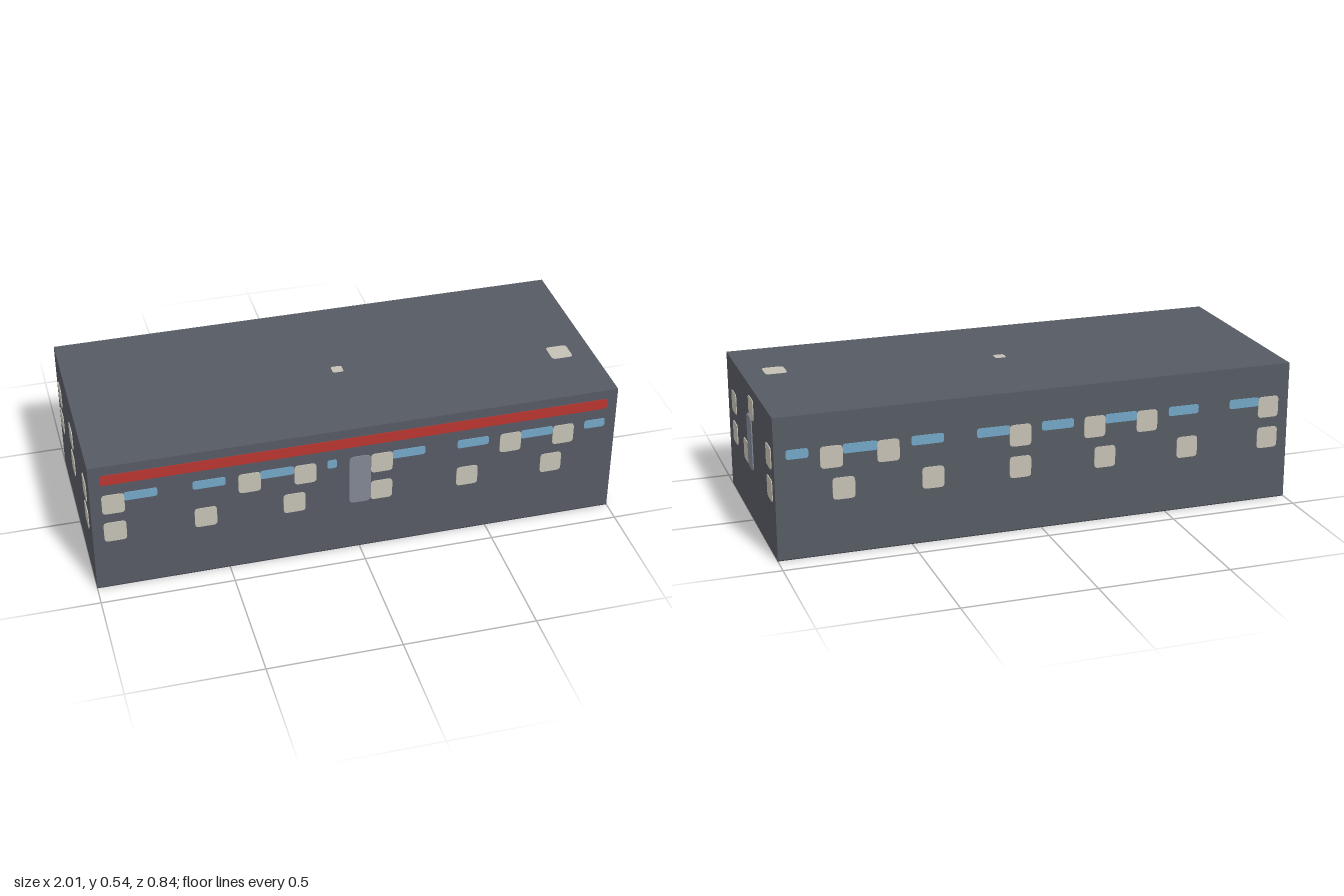
import * as THREE from 'three';

const W = 2, D = 0.83, H = 0.542, WALL = 0.04, RECESS = 0.17;

function material(name, color) {
  const m = new THREE.MeshStandardMaterial({ color });
  m.name = name;
  return m;
}

function roundedRect(w, h, r) {
  const x = w / 2, y = h / 2;
  const s = new THREE.Shape();
  s.moveTo(-x + r, -y);
  s.lineTo(x - r, -y).quadraticCurveTo(x, -y, x, -y + r);
  s.lineTo(x, y - r).quadraticCurveTo(x, y, x - r, y);
  s.lineTo(-x + r, y).quadraticCurveTo(-x, y, -x, y - r);
  s.lineTo(-x, -y + r).quadraticCurveTo(-x, -y, -x + r, -y);
  return s;
}

// Rectangular ring lying flat, from y = 0 up to the given height
function ringGeometry(height) {
  const outline = (w, d) => [[-w, -d], [w, -d], [w, d], [-w, d]].map(([x, y]) => new THREE.Vector2(x / 2, y / 2));
  const shape = new THREE.Shape(outline(W, D));
  shape.holes.push(new THREE.Path(outline(W - 2 * WALL, D - 2 * WALL).reverse()));
  return new THREE.ExtrudeGeometry(shape, { depth: height, bevelEnabled: false }).rotateX(-Math.PI / 2);
}

export function createModel() {
  const model = new THREE.Group();
  model.name = 'building';
  const wallMat = material('slate wall', 0x565a63);
  const rimMat = material('dark rim', 0x383b42);
  const windowMat = material('pale window', 0xc4c0b4);
  const stripMat = material('blue glazing', 0x72a6c6);
  const doorMat = material('grey door', 0x808793);
  const redMat = material('red band', 0xb8352f);

  const add = (parent, name, geometry, mat) => {
    const mesh = new THREE.Mesh(geometry, mat);
    mesh.name = name;
    parent.add(mesh);
    return mesh;
  };

  // Solid block over a hollow skirt, with a dark underside rim
  add(model, 'block', new THREE.BoxGeometry(W, H - RECESS, D), wallMat).position.y = (H + RECESS) / 2;
  add(model, 'skirt', ringGeometry(RECESS - 0.003), wallMat).position.y = 0.003;
  add(model, 'bottomRim', ringGeometry(0.003), rimMat);

  // Each face is a group whose local +z points outward
  const face = (name, position, rx, ry) => {
    const g = new THREE.Group();
    g.name = name;
    g.position.set(...position);
    g.rotation.set(rx, ry, 0);
    model.add(g);
    return g;
  };
  const plate = (parent, name, mat, x, y, w, h, r = 0.015, depth = 0.003) => {
    const geo = new THREE.ExtrudeGeometry(roundedRect(w, h, r), { depth, bevelEnabled: false, curveSegments: 4 });
    add(parent, name, geo, mat).position.set(x, y, 0);
  };
  const pane = (parent, x, y) => plate(parent, 'window', windowMat, x, y, 0.083, 0.083);
  const door = (parent) => plate(parent, 'door', doorMat, 0, 0.3135, 0.083, 0.208, 0.02, 0.004);

  const front = face('frontFace', [0, 0, D / 2], 0, 0);
  const back = face('backFace', [0, 0, -D / 2], 0, Math.PI);
  const leftSide = face('leftFace', [W / 2, 0, 0], 0, Math.PI / 2);
  const rightSide = face('rightFace', [-W / 2, 0, 0], 0, -Math.PI / 2);
  const roof = face('roof', [0, H - 0.002, 0], -Math.PI / 2, 0);

  // Long walls: two rows of windows and a broken line of glazing
  const upper = [-0.917, -0.417, -0.208, 0.083, 0.583, 0.792];
  const lower = [-0.917, -0.583, -0.25, 0.083, 0.417, 0.75];
  const strips = [[-0.877, -0.755], [-0.627, -0.505], [-0.377, -0.25], [0.123, 0.25], [0.375, 0.497], [0.623, 0.75], [0.875, 0.957]];
  for (const [wall, sign, middle] of [[front, 1, [-0.125, -0.088]], [back, -1, [-0.125, 0]]]) {
    upper.forEach((x) => pane(wall, sign * x, 0.375));
    lower.forEach((x) => pane(wall, sign * x, 0.252));
    for (const [a, b] of [...strips, middle]) {
      plate(wall, 'glazingStrip', stripMat, sign * (a + b) / 2, 0.4, b - a, 0.036, 0.01, 0.002);
    }
  }
  door(front);
  plate(front, 'redBand', redMat, 0, 0.483, 1.92, 0.042, 0.012);

  // Entrance end (local x runs towards the back)
  for (const [x, y] of [[-0.292, 0.375], [-0.292, 0.252], [0.333, 0.375], [0.333, 0.252], [-0.083, 0.252], [0.042, 0.459]]) {
    pane(leftSide, x, y);
  }
  door(leftSide);

  // Plain end: three columns of two windows (local x runs towards the front)
  for (const x of [-0.33, -0.042, 0.29]) {
    pane(rightSide, x, 0.375);
    pane(rightSide, x, 0.252);
  }

  // Roof hatches
  plate(roof, 'largeHatch', windowMat, 0.875, -0.12, 0.083, 0.083);
  plate(roof, 'smallHatch', windowMat, 0.018, -0.018, 0.042, 0.04, 0.008);

  return model;
}
